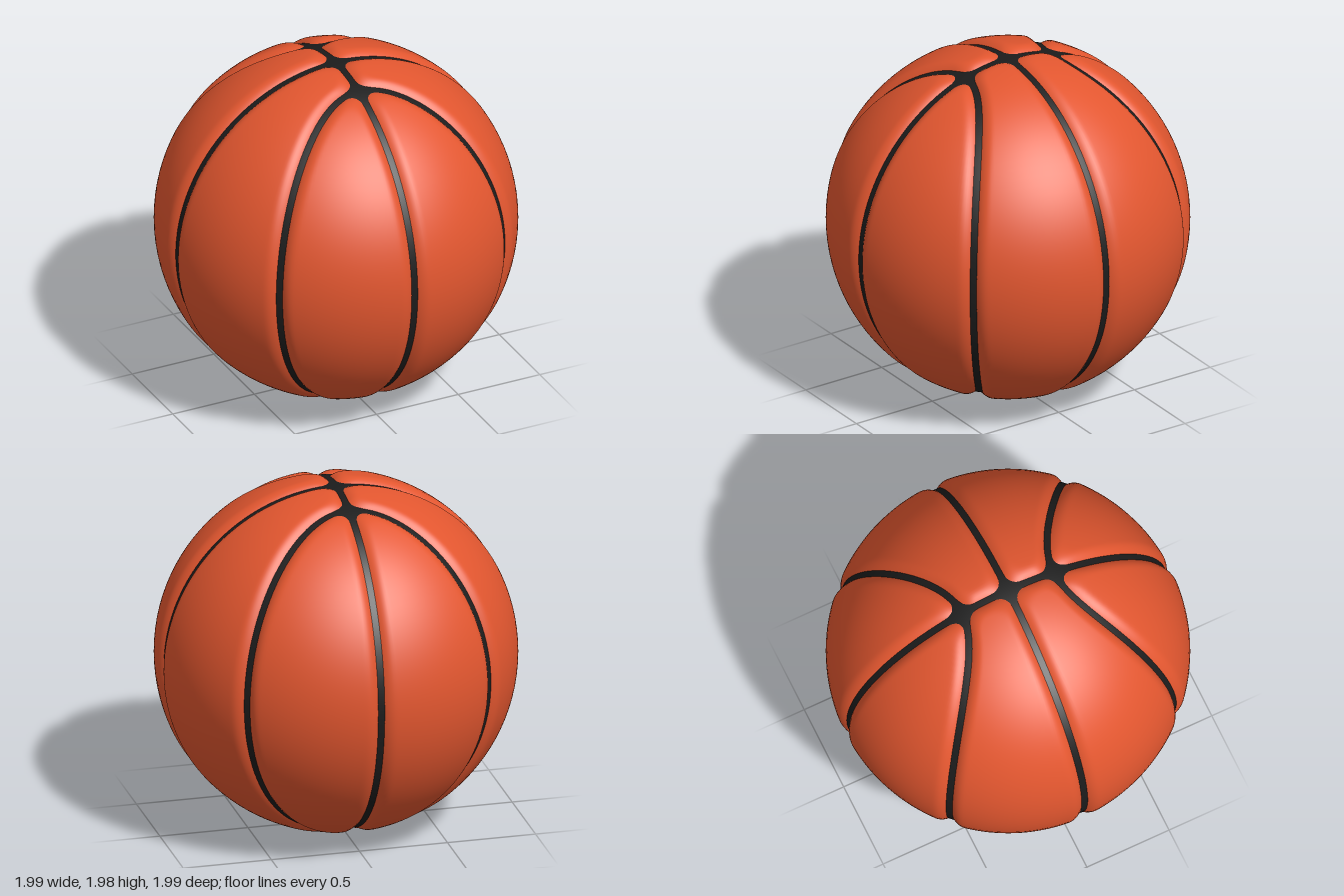
import * as THREE from 'three';

const A = 0.707, B = 0.958;      // half-axes of the oval seam, seen from the front
const COLS = 44, ROWS = 88;
const GROOVE_WIDTH = 0.085, GROOVE_DEPTH = 0.045, CORNER = 0.09;

// Smooth minimum: rounds panel corners where seams cross
function smoothMin(a, b) {
  const h = Math.max(CORNER - Math.abs(a - b), 0) / CORNER;
  return Math.min(a, b) - h * h * CORNER / 4;
}

// Distance on the unit sphere to the oval seams
function ovalDistance(p) {
  const f = (p.x / A) ** 2 + (p.y / B) ** 2 - 1;
  const g = new THREE.Vector3(2 * p.x / A ** 2, 2 * p.y / B ** 2, 0);
  g.addScaledVector(p, -g.dot(p));
  return Math.abs(f) / Math.max(g.length(), 1e-4);
}

// Radius of the leather, rolling down into the grooves
function leatherRadius(p) {
  const d = smoothMin(smoothMin(Math.abs(p.x), Math.abs(p.z)), ovalDistance(p));
  const k = THREE.MathUtils.clamp(1 - d / GROOVE_WIDTH, 0, 1.3);
  return 1 - GROOVE_DEPTH * k * k;
}

// Points on the three seams bounding the panels of one quarter
const onSphere = (x, y) => new THREE.Vector3(x, y, Math.sqrt(Math.max(0, 1 - x * x - y * y)));
const middleSeam = t => onSphere(0, B * Math.sin(t));
const ovalSeam = t => onSphere(A * Math.cos(t), B * Math.sin(t));
const sideSeam = t => new THREE.Vector3(Math.cos(t), Math.sin(t), 0);

// Panel spanned between two seams, mirrored by the signs sx and sz
function panelGeometry(from, to, sx, sz) {
  const positions = [], indices = [];
  for (let j = 0; j <= ROWS; j++) {
    const t = Math.PI / 2 * Math.sin(Math.PI * (j / ROWS - 0.5));
    const start = from(t), end = to(t);
    for (let i = 0; i <= COLS; i++) {
      const s = (1 - Math.cos(Math.PI * i / COLS)) / 2;
      const p = start.clone().lerp(end, s).normalize();
      p.multiplyScalar(leatherRadius(p));
      positions.push(p.x * sx, p.y, p.z * sz);
      if (i < COLS && j < ROWS) {
        const a = j * (COLS + 1) + i, b = a + 1, c = a + COLS + 1, d = c + 1;
        if (sx * sz > 0) indices.push(a, b, d, a, d, c);
        else indices.push(a, d, b, a, c, d);
      }
    }
  }
  const geometry = new THREE.BufferGeometry();
  geometry.setAttribute('position', new THREE.Float32BufferAttribute(positions, 3));
  geometry.setIndex(indices);
  geometry.computeVertexNormals();
  return geometry;
}

export function createModel() {
  const ball = new THREE.Group();
  ball.name = 'basketball';
  const leather = new THREE.MeshStandardMaterial({ color: 0xe2562f });
  const rubber = new THREE.MeshStandardMaterial({ color: 0x1c1c1c });

  // Dark core showing through the grooves as seams
  const core = new THREE.Mesh(new THREE.SphereGeometry(0.973, 128, 96), rubber);
  core.name = 'seams';
  core.position.y = 1;
  ball.add(core);

  // Eight leather panels: an oval half and an outer strip in each quarter
  for (const sx of [1, -1]) {
    for (const sz of [1, -1]) {
      const place = (sz > 0 ? 'front' : 'back') + (sx > 0 ? 'Left' : 'Right');
      const panels = [['OvalPanel', middleSeam, ovalSeam], ['SidePanel', ovalSeam, sideSeam]];
      for (const [kind, from, to] of panels) {
        const panel = new THREE.Mesh(panelGeometry(from, to, sx, sz), leather);
        panel.name = place + kind;
        panel.position.y = 1;
        ball.add(panel);
      }
    }
  }
  return ball;
}
